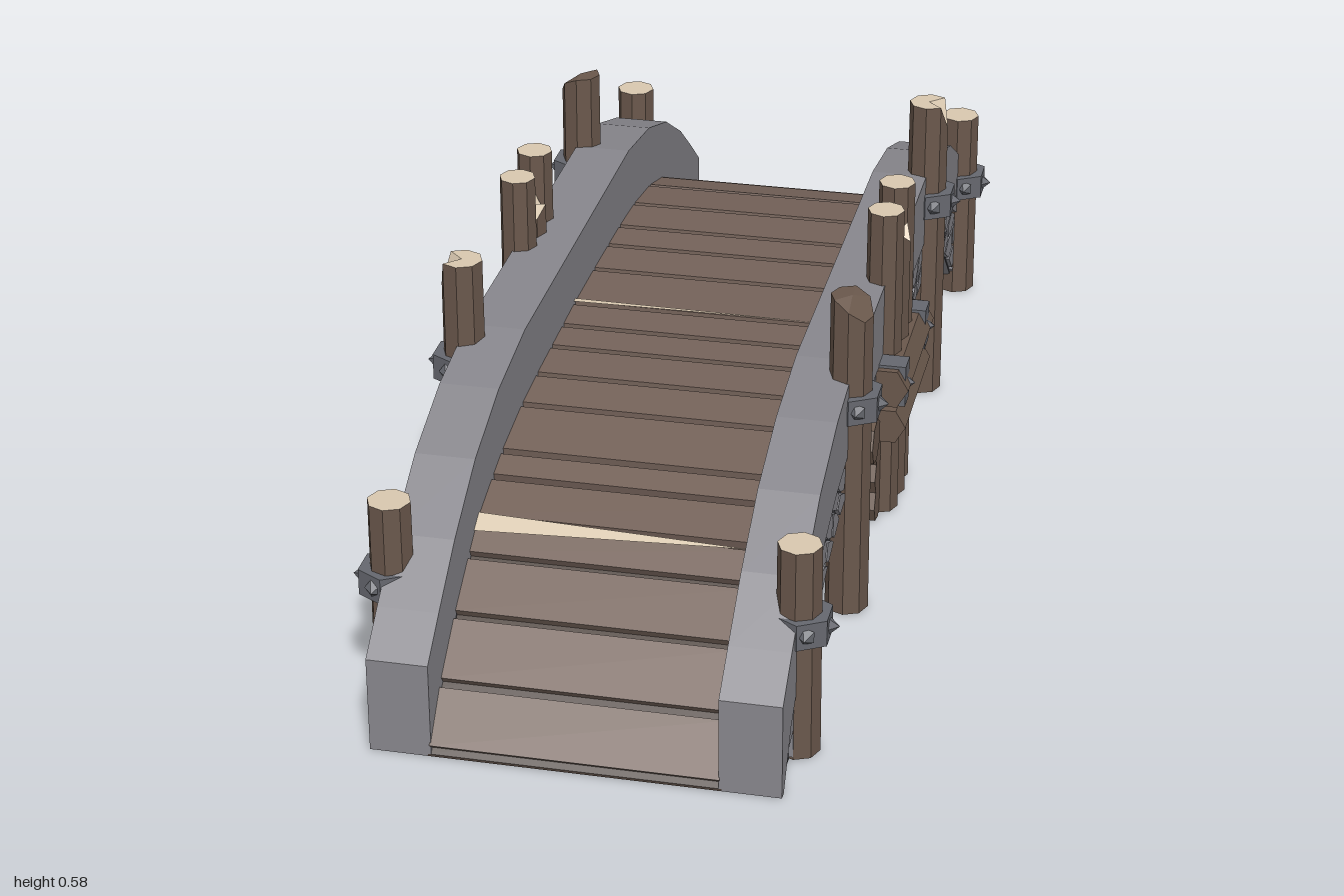
import * as THREE from 'three';

const mat = (name, color) => {
  const m = new THREE.MeshStandardMaterial({ color, flatShading: true });
  m.name = name;
  return m;
};

// Half profiles as [|z|, y], mirrored about the middle of the bridge
const TOP = [[0, .445], [.38, .445], [.55, .42], [.7, .37], [.83, .295], [.93, .22], [1, .165]];
const BAND = [[0, .31], [.38, .31], [.55, .285], [.7, .24], [.83, .17], [.93, .085], [.985, 0]];
const LOW = [[0, .225], [.38, .225], [.5, .21], [.62, .175], [.73, .12], [.81, .05], [.86, 0]];
const DECK = [[0, .335], [.38, .325], [.55, .3], [.7, .258], [.84, .17], [.93, .1], [1, .02]];

const full = (t) => [...t.slice(1).reverse().map(([z, y]) => [-z, y]), ...t];
const heightAt = (t, z) => {
  const a = Math.abs(z);
  for (let i = 1; i < t.length; i++) {
    if (a <= t[i][0]) {
      const [z0, y0] = t[i - 1], [z1, y1] = t[i];
      return y0 + (y1 - y0) * (a - z0) / (z1 - z0);
    }
  }
  return t[t.length - 1][1];
};

// Slab from a (z, y) outline, with its outer face at x1 and running inward by d
function slab(points, x1, d) {
  const shape = new THREE.Shape(points.map(([z, y]) => new THREE.Vector2(z, y)));
  const g = new THREE.ExtrudeGeometry(shape, { depth: d, bevelEnabled: false });
  return g.rotateY(-Math.PI / 2).translate(x1, 0, 0);
}

export function createModel() {
  const stone = mat('stone', 0x88878d);
  const grout = mat('grout', 0x3c3c40);
  const wood = mat('plank wood', 0x75635a);
  const bark = mat('bark', 0x6a584c);
  const darkWood = mat('dark wood', 0x4a3e37);
  const cut = mat('cut wood', 0xd9c8b0);
  const iron = mat('iron', 0x66686f);

  const model = new THREE.Group();
  model.name = 'bridge';
  const add = (parent, name, geometry, material, x = 0, y = 0, z = 0) => {
    const m = new THREE.Mesh(geometry, material);
    m.name = name;
    m.position.set(x, y, z);
    parent.add(m);
    return m;
  };

  // Deck body and planks
  const under = full(LOW).map(([z, y]) => [z, y > 0 ? y + .012 : 0]);
  const over = full(DECK).map(([z, y]) => [z, Math.max(y - .016, .002)]);
  add(model, 'deckBody', slab([...over, [1, 0], ...under.reverse(), [-1, 0]], .235, .47), darkWood);
  const joints = [-1, -.92, -.84, -.77, -.66, -.55, -.42, -.3, -.21, -.1, .045, .13, .21, .31, .41, .54,
    .6, .69, .75, .84, .93, 1];
  for (let i = 1; i < joints.length; i++) {
    const z0 = joints[i - 1], z1 = joints[i];
    const y0 = heightAt(DECK, z0), y1 = heightAt(DECK, z1);
    const g = new THREE.BoxGeometry(.464, .02, Math.hypot(z1 - z0, y1 - y0) - .013);
    const plank = add(model, 'plank', g, wood, 0, (y0 + y1) / 2 - .01, (z0 + z1) / 2);
    plank.rotation.x = -Math.atan2(y1 - y0, z1 - z0);
  }

  // Pale splintered cracks across the planks
  const crack = (z, w, dir) => {
    const at = (x, zz) => [x, heightAt(DECK, zz) + .006, zz];
    const g = new THREE.BufferGeometry();
    g.setAttribute('position', new THREE.Float32BufferAttribute(
      [...at(-.23 * dir, z - w * dir), ...at(-.23 * dir, z + w * dir), ...at(.22 * dir, z)], 3));
    g.computeVertexNormals();
    add(model, 'crack', g, cut);
  };
  crack(.705, .016, 1);
  crack(-.71, .016, -1);
  crack(.045, .006, 1);

  // One side of the bridge, facing +x
  const side = new THREE.Group();
  side.name = 'side';
  add(side, 'parapet', slab([...full(TOP), [1, 0], ...full(BAND).reverse(), [-1, 0]], .33, .1), stone);
  add(side, 'archBand', slab([...full(BAND), ...full(LOW).reverse()], .32, .09), [grout, stone]);

  // Rubble stones: two interlocking rows along the arch band
  let seed = 7;
  const rand = () => (seed = (seed * 16807) % 2147483647) / 2147483647 - .5;
  const N = 64;
  const onBand = (s, v) => {
    const zl = s * .86, zt = s * .985;
    const yl = heightAt(LOW, zl), yt = heightAt(BAND, zt);
    return [zl + (zt - zl) * v, yl + (yt - yl) * v];
  };
  const rows = [[], [], []];
  for (let k = 0; k <= N; k++) {
    const s = (k, j) => Math.max(-1, Math.min(1, k / N * 2 - 1 + rand() * j));
    rows[0].push(onBand(s(k, .02), 0));
    rows[1].push(onBand(s(k, .02), .5 + (k % 2 ? .17 : -.17) + rand() * .2));
    rows[2].push(onBand(s(k, .02), 1));
  }
  const [lo, mid, hi] = rows;
  for (let k = 0; k + 2 <= N; k++) {
    const edge = [mid[k], mid[k + 1], mid[k + 2]];
    const cell = k % 2 ? [...edge, hi[k + 2], hi[k]] : [lo[k], lo[k + 2], ...edge.reverse()];
    const c = [0, 1].map((a) => cell.reduce((sum, p) => sum + p[a], 0) / cell.length);
    const f = .84;
    add(side, 'rubbleStone', slab(cell.map((p) => p.map((v, a) => c[a] + (v - c[a]) * f)), .327, .008), stone);
  }

  // Upright log; dip(x, z, i) lowers the top rim to make a broken end
  const upright = (name, x, z, r, h, cap, dip) => {
    const g = new THREE.CylinderGeometry(r * .96, r, h, 8);
    const p = g.attributes.position;
    for (let i = 0; dip && i < p.count; i++) {
      if (p.getY(i) > h / 2 - 1e-5) p.setY(i, h / 2 - dip(p.getX(i) / r, p.getZ(i) / r));
    }
    return add(side, name, g, [bark, cap, bark], x, h / 2, z);
  };
  const bolt = (x, y, z, turn) => {
    const g = new THREE.ConeGeometry(.016, .018, 5).rotateZ(-Math.PI / 2).rotateY(turn);
    add(side, 'bolt', g, iron, x, y, z);
  };
  const strap = (y, z) => {
    add(side, 'strap', new THREE.CylinderGeometry(.05, .05, .045, 6), iron, .332, y, z);
    bolt(.382, y, z, 0);
    bolt(.345, y, z + .049, -Math.PI / 2);
    bolt(.345, y, z - .049, Math.PI / 2);
  };
  for (const z of [-.855, .855]) {
    upright('shortPost', .327, z, .037, .37, cut);
    strap(.23, z);
  }
  upright('tallPost', .327, .41, .037, .58, bark, (x, z) => .035 * Math.max(0, x + z * .5));
  upright('tallPost', .327, -.41, .037, .58, cut, (x, z) => .05 * Math.max(0, x - Math.abs(z)));
  for (const z of [-.41, .41]) strap(.388, z);

  // Central trestle posts with a splintered middle one
  upright('trestlePost', .325, .06, .033, .575, cut);
  upright('trestlePost', .325, -.058, .033, .575, cut);
  upright('brokenPost', .325, 0, .036, .515, cut, (x, z) => .02 + .02 * Math.sin(5 * z + 3 * x));

  // Clamped rails across the trestle
  const rail = (y, r, len) => {
    const g = new THREE.CylinderGeometry(r, r, len, 6).rotateX(Math.PI / 2).rotateZ(Math.PI / 2);
    add(side, 'trestleRail', g, bark, .345, y, 0);
  };
  rail(.275, .039, .29);
  rail(.2, .035, .28);
  for (const z of [-.112, .112]) {
    add(side, 'clamp', new THREE.BoxGeometry(.06, .076, .042), iron, .347, .276, z);
    bolt(.382, .276, z, 0);
  }
  model.add(side);
  const other = side.clone();
  other.rotation.y = Math.PI;
  model.add(other);

  // Logs stacked crosswise beneath the deck
  const crossLog = (y, z, r, len) => {
    const g = new THREE.CylinderGeometry(r, r, len, 7).rotateZ(Math.PI / 2);
    add(model, 'crossLog', g, bark, 0, y, z);
  };
  for (const z of [-.11, .11]) {
    for (const y of [.034, .09, .146]) crossLog(y, z, .036, .66);
  }
  for (const z of [-.055, 0, .055]) crossLog(.036, z, .034, .62);
  for (const z of [-.172, .172]) crossLog(.187, z, .041, .67);

  return model;
}
